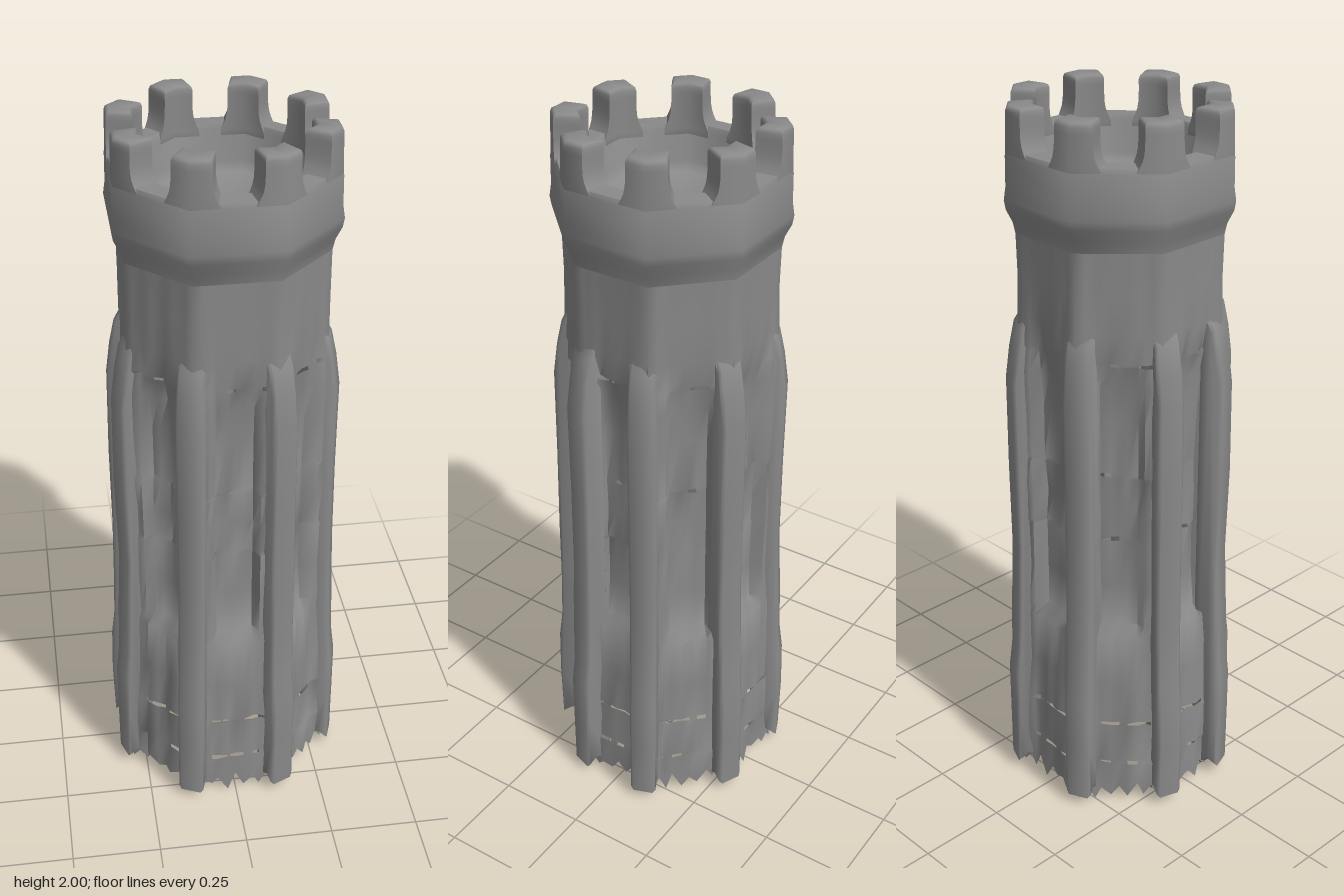
import * as THREE from 'three';
import { toCreasedNormals } from 'three/addons/utils/BufferGeometryUtils.js';

const SIDES = 8;
const HALF = Math.PI / SIDES;
const COS = Math.cos(HALF);
const stone = new THREE.MeshStandardMaterial({ color: 0x8a8a8a, side: THREE.DoubleSide });

function seeded(seed) {
  return () => {
    seed = (seed * 16807) % 2147483647;
    return seed / 2147483647;
  };
}

function addMesh(parent, name, geometry) {
  const mesh = new THREE.Mesh(toCreasedNormals(geometry, 1), stone);
  mesh.name = name;
  parent.add(mesh);
  return mesh;
}

// Octagonal shaft: rings of [height, apothem, panel recess, share of slit openings]
function shaftGeometry() {
  const rings = [
    [0.03, 0.284, 0, 0], [0.13, 0.284, 0, 0.25], [0.14, 0.284, 0, 0],
    [0.263, 0.281, 0, 0.6], [0.273, 0.281, 0, 0], [0.4, 0.277, 0, 0],
    [0.55, 0.274, 0, 0], [0.58, 0.27, 0.03, 0], [0.7, 0.27, 0.034, 0],
    [0.84, 0.27, 0.034, 0.08], [0.85, 0.27, 0.034, 0], [0.94, 0.27, 0.034, 0],
    [1.035, 0.27, 0.032, 0.12], [1.046, 0.27, 0.032, 0], [1.2, 0.269, 0.03, 0],
    [1.3, 0.268, 0.022, 0], [1.36, 0.267, 0.01, 0.35], [1.37, 0.267, 0.008, 0],
    [1.45, 0.266, 0, 0], [1.56, 0.265, 0, 0], [1.67, 0.267, 0, 0],
  ];
  const steps = [-1, -0.78, -0.6, -0.45, -0.2, 0, 0.2, 0.45, 0.6, 0.78];
  const cols = SIDES * steps.length;
  const rand = seeded(4711);
  const wear = Array.from({ length: cols }, () => (rand() - 0.5) * 0.012);
  const positions = [], indices = [];
  rings.forEach(([y, apothem, recess, slit], r) => {
    const last = r === rings.length - 1;
    // The upper wall is smoother than the weathered body
    const rough = last ? 0 : y > 1.4 ? 0.3 : 1;
    for (let i = 0; i < cols; i++) {
      const t = steps[i % steps.length];
      const face = Math.floor(i / steps.length) * 2 * HALF;
      const sunk = Math.abs(t) < 0.5 ? recess : 0;
      const d = apothem - sunk + rough * (wear[i] + (rand() - 0.5) * 0.01);
      const s = t * apothem * Math.tan(HALF);
      // The foot of the wall is broken and ragged
      const height = r === 0 ? (i % 2 ? 0.035 + rand() * 0.03 : rand() * 0.035) : y;
      positions.push(
        d * Math.sin(face) + s * Math.cos(face), height,
        d * Math.cos(face) - s * Math.sin(face));
      const open = Math.abs(t) < 0.7 && rand() < slit;
      if (last || open) continue;
      const j = (i + 1) % cols;
      const a = r * cols + i, b = r * cols + j;
      indices.push(a, b, b + cols, a, b + cols, a + cols);
    }
  });
  const geometry = new THREE.BufferGeometry();
  geometry.setAttribute('position', new THREE.Float32BufferAttribute(positions, 3));
  geometry.setIndex(indices);
  return geometry;
}

// Buttress side profile (radius, height) with a worn lower edge
function buttressGeometry(rand) {
  const w = 0.058;
  const n = () => (rand() - 0.5) * 0.01;
  const shape = new THREE.Shape([
    [0.25, 0.05], [0.28, 0.03 + n()], [0.305, 0.05], [0.335, 0.03 + n()],
    [0.337 + n() / 2, 0.2], [0.336, 0.34], [0.326, 0.42], [0.322, 0.56],
    [0.317 + n(), 0.75], [0.317 + n(), 1.0], [0.317, 1.26],
    [0.305, 1.35], [0.29, 1.42], [0.25, 1.48],
  ].map(([x, y]) => new THREE.Vector2(x, y)));
  const geometry = new THREE.ExtrudeGeometry(shape, {
    depth: w, bevelEnabled: true, bevelThickness: 0.008, bevelSize: 0.008,
    bevelOffset: -0.008, bevelSegments: 1,
  });
  return geometry.translate(0, 0, -w / 2);
}

// Merlon plan wraps around one corner of the parapet
function merlonGeometry() {
  const arm = 0.058;
  const outer = 0.286 / COS, inner = 0.22 / COS;
  const dx = arm * Math.sin(HALF), dy = arm * COS;
  const shape = new THREE.Shape([
    [outer, 0], [outer - dx, dy], [inner - dx * 0.8, dy * 0.8],
    [inner, 0], [inner - dx * 0.8, -dy * 0.8], [outer - dx, -dy],
  ].map(([x, y]) => new THREE.Vector2(x, y)));
  const geometry = new THREE.ExtrudeGeometry(shape, {
    depth: 0.128, steps: 8, bevelEnabled: true, bevelThickness: 0.012, bevelSize: 0.01,
    bevelOffset: -0.01, bevelSegments: 2,
  });
  geometry.rotateX(-Math.PI / 2).translate(0, 1.86, 0);
  // Curve the foot outward along the parapet and lean the top in
  const p = geometry.attributes.position;
  for (let i = 0; i < p.count; i++) {
    const k = Math.min(1, (2 - p.getY(i)) / 0.12);
    const z = p.getZ(i) * (0.95 + 0.4 * k ** 5);
    const slide = (Math.abs(z) - Math.abs(p.getZ(i))) * Math.tan(HALF);
    p.setX(i, p.getX(i) - slide - 0.004 * (1 - k));
    p.setZ(i, z);
  }
  return geometry;
}

export function createModel() {
  const tower = new THREE.Group();
  tower.name = 'tower';

  addMesh(tower, 'shaft', shaftGeometry());

  // Flared parapet with a sunken roof floor
  const profile = [
    [0.267, 1.67], [0.273, 1.7], [0.289, 1.735], [0.293, 1.76], [0.288, 1.795],
    [0.287, 1.875], [0.281, 1.888], [0.23, 1.89], [0.221, 1.875], [0.215, 1.79],
    [0.2, 1.765], [0, 1.755],
  ].map(([apothem, y]) => new THREE.Vector2(apothem / COS, y));
  addMesh(tower, 'parapet', new THREE.LatheGeometry(profile, SIDES, HALF));

  // One merlon per corner
  const merlon = merlonGeometry();
  for (let i = 0; i < SIDES; i++) {
    addMesh(tower, 'merlon', merlon).rotation.y = HALF * (2 * i + 1);
  }

  // Buttresses: those on the side walls sit closer together than front and back
  const rand = seeded(99);
  for (const side of [0, Math.PI]) {
    for (const angle of [0.34, 1.15, -0.34, -1.15]) {
      addMesh(tower, 'buttress', buttressGeometry(rand)).rotation.y = side + angle;
    }
  }
  return tower;
}
